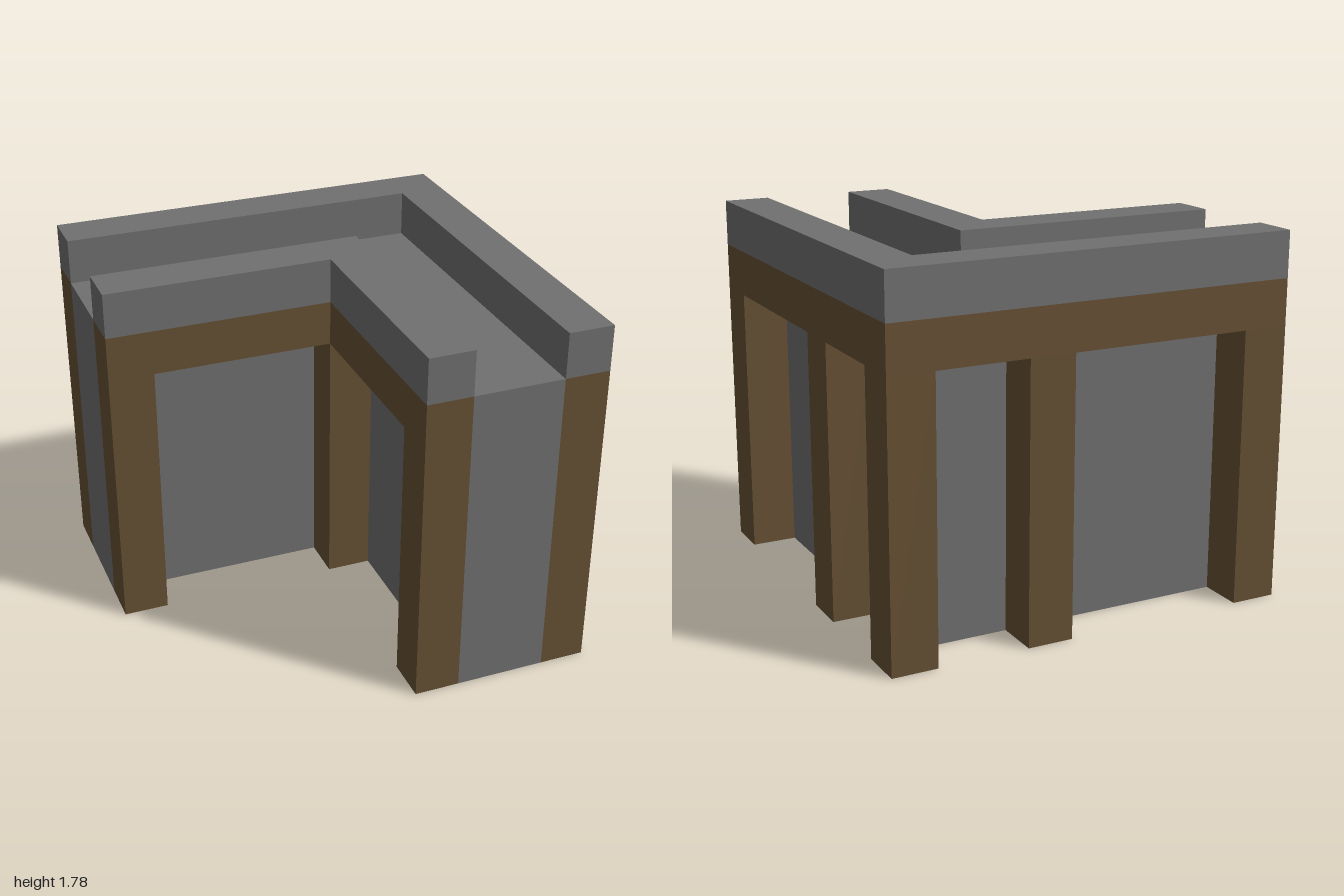
import * as THREE from 'three';

const U = 2 / 9; // width of one post, rail or beam

export function createModel() {
  const model = new THREE.Group();
  model.name = 'cornerWall';
  const stone = new THREE.MeshStandardMaterial({ color: 0x707070 });
  stone.name = 'grey stone';
  const wood = new THREE.MeshStandardMaterial({ color: 0x665033 });
  wood.name = 'brown timber';

  // L-shaped bar: both arms lie between two offsets from the corner, outer > inner
  function addBar(name, inner, outer, y0, y1, material) {
    const shape = new THREE.Shape([
      [-1, inner], [inner, inner], [inner, -1],
      [outer, -1], [outer, outer], [-1, outer],
    ].map(([x, y]) => new THREE.Vector2(x, y)));
    const geometry = new THREE.ExtrudeGeometry(shape, { depth: y1 - y0, bevelEnabled: false });
    geometry.rotateX(-Math.PI / 2);
    const mesh = new THREE.Mesh(geometry, material);
    mesh.name = name;
    mesh.position.y = y0;
    model.add(mesh);
  }

  function addPost(name, x, z) {
    const mesh = new THREE.Mesh(new THREE.BoxGeometry(U, 6 * U, U), wood);
    mesh.name = name;
    mesh.position.set(x, 3 * U, z);
    model.add(mesh);
  }

  // Wall core with its walkway on top
  addBar('wallCore', 1 - 3 * U, 1 - U, 0, 7 * U, stone);

  // Timber beams and stone parapets along both faces
  for (const [side, inner] of [['outer', 1 - U], ['inner', 1 - 4 * U]]) {
    addBar(side + 'Beam', inner, inner + U, 6 * U, 7 * U, wood);
    addBar(side + 'Parapet', inner, inner + U, 7 * U, 8 * U, stone);
  }

  // Posts: one at each corner, the others mirrored across the diagonal
  const end = -1 + U / 2, mid = 1 - 3.5 * U, far = 1 - U / 2;
  addPost('outerCornerPost', far, -far);
  addPost('innerCornerPost', mid, -mid);
  for (const [name, a, b] of [
    ['outerEndPost', end, far], ['outerMiddlePost', mid, far], ['innerEndPost', end, mid],
  ]) {
    addPost(name + 'Back', a, -b);
    addPost(name + 'Side', b, -a);
  }
  return model;
}
